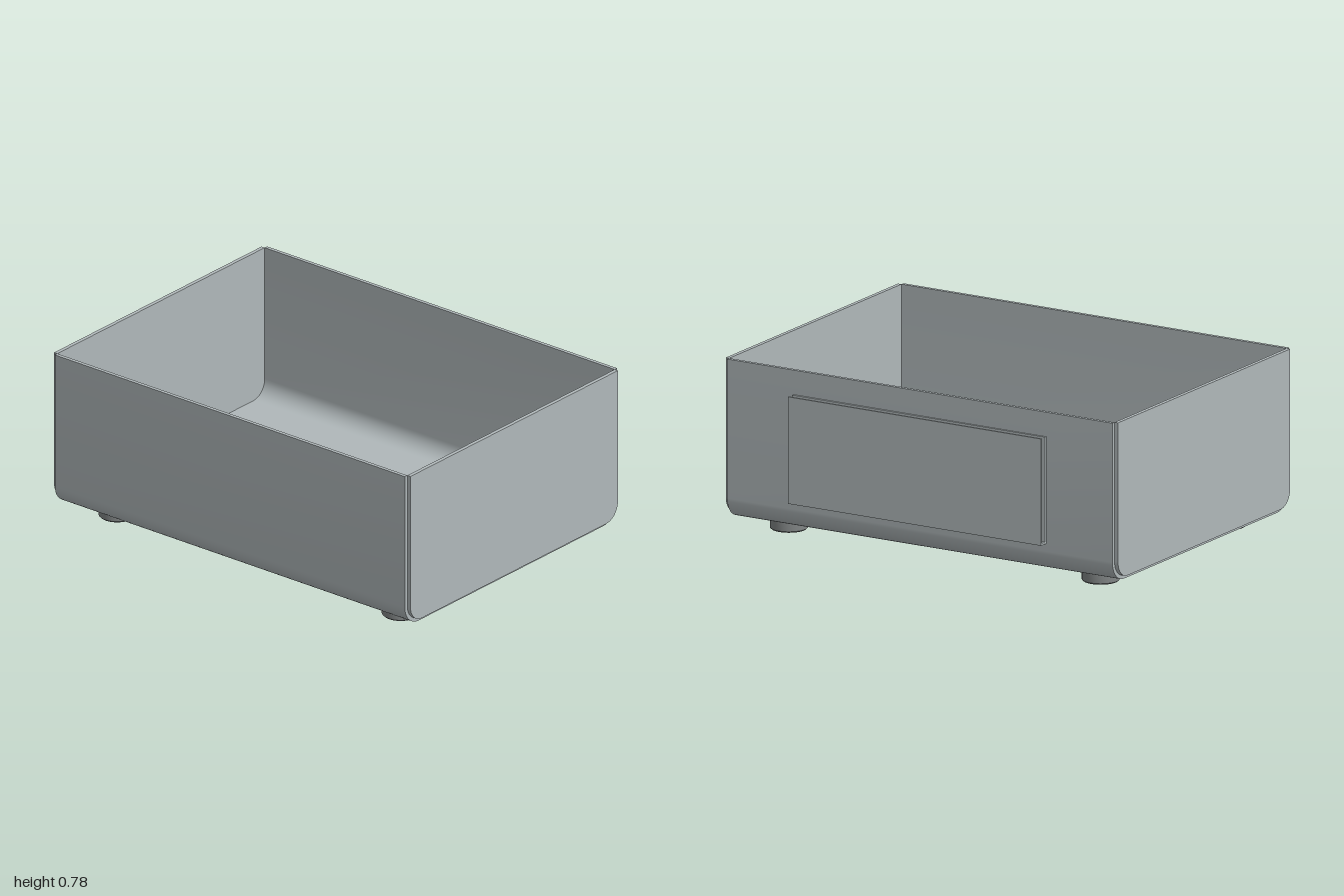
import * as THREE from 'three';
import { toCreasedNormals } from 'three/addons/utils/BufferGeometryUtils.js';

const FRONT = 0.744, BACK = -0.7, BASE = 0.06, TOP = 0.78;
const T = 0.017, R = 0.095;

// Lower outline of the tray in (z, y), inset by d, from front rim to back rim
function outline(d) {
  const r = R - d, f = FRONT - d, b = BACK + d, y = BASE + d;
  const pts = [[f, TOP]];
  const N = 10;
  for (let i = 0; i <= N; i++) {
    const a = (i / N) * Math.PI / 2;
    pts.push([f - r + r * Math.cos(a), y + r - r * Math.sin(a)]);
  }
  for (let i = 0; i <= N; i++) {
    const a = (i / N) * Math.PI / 2;
    pts.push([b + r - r * Math.sin(a), y + r - r * Math.cos(a)]);
  }
  pts.push([b, TOP]);
  return pts;
}

// Extrude a (z, y) outline along x, centred on x = 0
function extrudeAlongX(pts, width) {
  const shape = new THREE.Shape(pts.map(([z, y]) => new THREE.Vector2(z, y)));
  const geo = new THREE.ExtrudeGeometry(shape, { depth: width, bevelEnabled: false });
  geo.translate(0, 0, -width / 2).rotateY(-Math.PI / 2);
  return toCreasedNormals(geo, 0.5);
}

export function createModel() {
  const group = new THREE.Group();
  const sheet = new THREE.MeshStandardMaterial({ color: 0xb0b8ba });
  sheet.name = 'sheet metal grey';
  const rubber = new THREE.MeshStandardMaterial({ color: 0x808484 });
  rubber.name = 'foot grey';

  const add = (name, geo, mat, x = 0, y = 0, z = 0) => {
    const mesh = new THREE.Mesh(geo, mat);
    mesh.name = name;
    mesh.position.set(x, y, z);
    group.add(mesh);
  };

  // Front, floor and back folded from one sheet
  const fold = [...outline(0), ...outline(T).reverse()];
  add('foldedShell', extrudeAlongX(fold, 1.964), sheet);

  // End panels, set just outside the shell's open ends
  const endGeo = extrudeAlongX(outline(T), 0.018);
  add('leftEndPanel', endGeo, sheet, 0.991);
  add('rightEndPanel', endGeo, sheet, -0.991);

  // Label holder on the back: two plates, a card between them, a bottom ledge
  const plate = (name, w, y0, y1, z0, z1) =>
    add(name, new THREE.BoxGeometry(w, y1 - y0, z1 - z0), sheet, 0, (y0 + y1) / 2, (z0 + z1) / 2);
  plate('holderBackPlate', 1.29, 0.19, 0.67, -0.709, BACK);
  plate('holderCard', 1.22, 0.21, 0.65, -0.728, -0.718);
  plate('holderOuterPlate', 1.29, 0.19, 0.67, -0.744, -0.735);
  plate('holderLedge', 1.29, 0.19, 0.199, -0.735, -0.709);

  // Four round feet with softened edges
  const footProfile = [[0, 0], [0.077, 0], [0.083, 0.006], [0.083, 0.054], [0.079, 0.06], [0, 0.06]]
    .map(([r, y]) => new THREE.Vector2(r, y));
  const footGeo = toCreasedNormals(new THREE.LatheGeometry(footProfile, 24), 0.5);
  for (const x of [-0.795, 0.795]) {
    for (const z of [0.545, -0.495]) add('foot', footGeo, rubber, x, 0, z);
  }
  return group;
}
